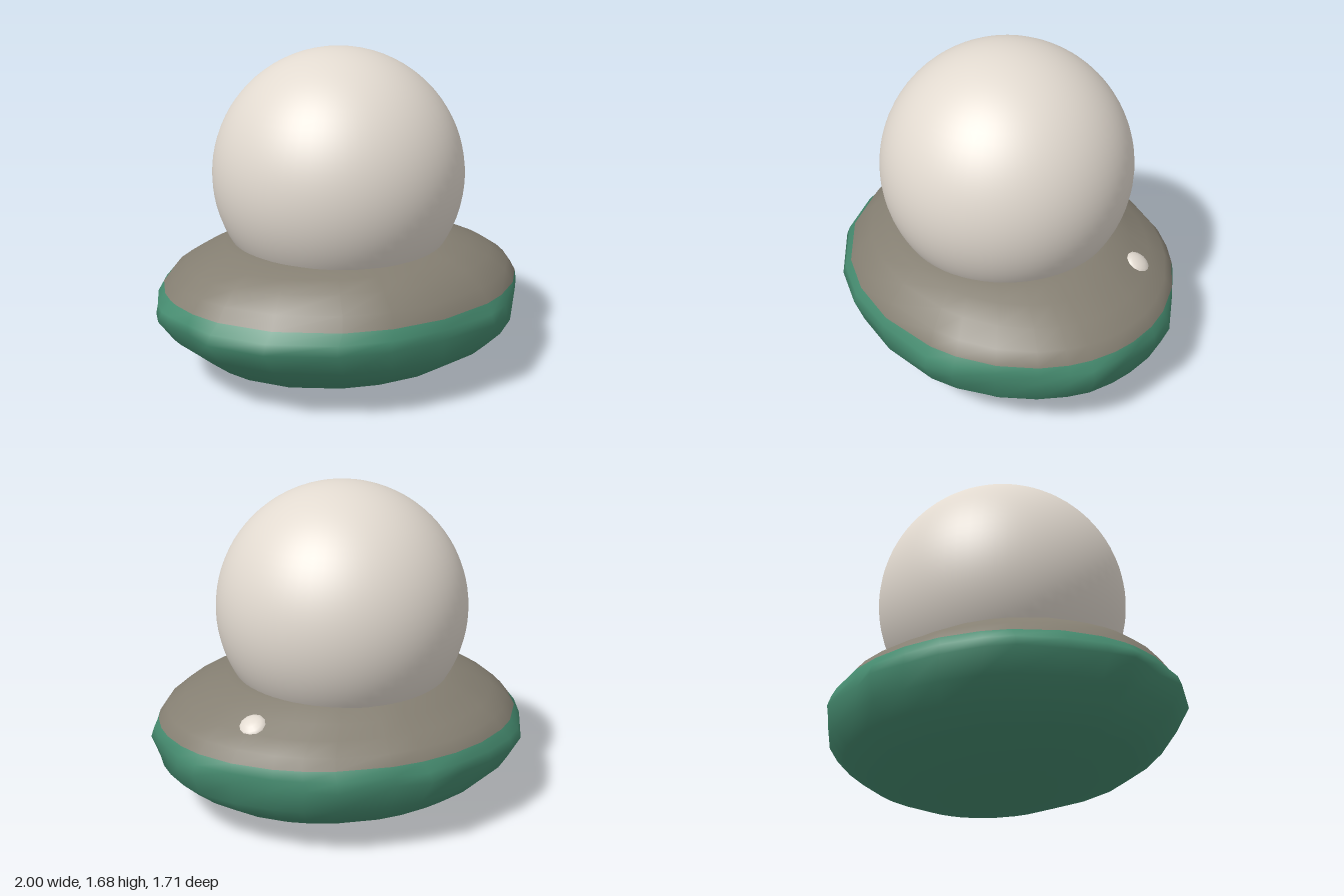
import * as THREE from 'three';

const mat = (name, color) => new THREE.MeshStandardMaterial({ name, color });

// uneven rim of the base, as x, z pairs going round from the back
const RIM = [
  [-0.15, -0.86], [0.02, -0.83], [0.31, -0.83], [0.45, -0.75], [0.58, -0.68], [0.74, -0.54],
  [0.9, -0.4], [0.95, -0.27], [0.97, -0.12], [0.99, 0], [1, 0.14], [0.95, 0.25], [0.87, 0.38],
  [0.74, 0.54], [0.6, 0.7], [0.47, 0.78], [0.14, 0.835], [-0.15, 0.85], [-0.4, 0.79],
  [-0.7, 0.62], [-0.89, 0.39], [-0.92, 0.22], [-0.98, 0.07], [-1, 0], [-0.97, -0.12],
  [-0.9, -0.3], [-0.8, -0.51], [-0.7, -0.61], [-0.52, -0.72], [-0.34, -0.79],
];

// rings from bottom to top: y, x radius, z radius, share of the rim shape, x centre, rise to the front
const RINGS = [
  [0.01, 0, 0, 0, 0.03, 0],
  [0.012, 0.2, 0.22, 0, 0.03, 0],
  [0.045, 0.5, 0.42, 0, 0.06, 0],
  [0.12, 0.74, 0.63, 0, 0.02, 0],
  [0.2, 0.85, 0.75, 0, 0.03, 0],
  [0.28, 0.93, 0.815, 0.2, 0.03, 0],
  [0.39, 0.98, 0.84, 1, 0, 0],
  [0.44, 0.97, 0.835, 0.5, 0.01, 0],
  [0.49, 0.95, 0.825, 0, 0.02, 0],
  [0.55, 0.905, 0.785, 0, 0.02, 0.01],
  [0.61, 0.82, 0.705, 0, 0.01, 0.025],
  [0.66, 0.715, 0.62, 0, 0, 0.02],
  [0.7, 0.61, 0.53, 0, 0, 0.005],
  [0.72, 0.52, 0.45, 0, 0, 0],
  [0.73, 0, 0, 0, 0, 0],
];
const SEAM = 8; // ring where the two colours meet

function baseGeometry() {
  const n = RIM.length, pos = [], index = [];
  for (const [y, rx, rz, share, cx, rise] of RINGS) {
    for (const [px, pz] of RIM) {
      const t = Math.atan2(pz / 0.84, px / 0.98);
      const x = cx + rx * Math.cos(t), z = rz * Math.sin(t);
      pos.push(x + (px - x) * share, y + rise * Math.sin(t), z + (pz - z) * share);
    }
  }
  for (let r = 0; r < RINGS.length - 1; r++) {
    for (let j = 0; j < n; j++) {
      const a = r * n + j, b = r * n + (j + 1) % n;
      index.push(a, a + n, b, b, a + n, b + n);
    }
  }
  const g = new THREE.BufferGeometry();
  g.setAttribute('position', new THREE.Float32BufferAttribute(pos, 3));
  g.setIndex(index);
  g.computeVertexNormals();
  // the collapsed end rings point straight down and up
  for (let j = 0; j < n; j++) {
    g.attributes.normal.setXYZ(j, 0, -1, 0);
    g.attributes.normal.setXYZ((RINGS.length - 1) * n + j, 0, 1, 0);
  }
  g.addGroup(0, SEAM * n * 6, 0);
  g.addGroup(SEAM * n * 6, index.length - SEAM * n * 6, 1);
  return g;
}

export function createModel() {
  const green = mat('green', 0x468c70);
  const taupe = mat('taupe', 0x857f72);
  const ivory = mat('ivory', 0xe2dad0);
  const model = new THREE.Group();
  model.name = 'domedSaucer';

  const add = (name, geometry, material, x, y, z) => {
    const m = new THREE.Mesh(geometry, material);
    m.name = name;
    m.position.set(x, y, z);
    model.add(m);
    return m;
  };

  // cushion-shaped base: green below, taupe above
  add('base', baseGeometry(), [green, taupe], 0, 0, 0);

  // large ball resting in the base
  add('ball', new THREE.SphereGeometry(0.65, 64, 40), ivory, 0, 1.04, 0);

  // small stud lying on the slope at the back left
  const stud = add('stud', new THREE.SphereGeometry(0.072, 12, 8), ivory, 0.6, 0.606, -0.41);
  stud.scale.y = 0.5;
  stud.quaternion.setFromUnitVectors(
    new THREE.Vector3(0, 1, 0), new THREE.Vector3(0.4, 0.85, -0.35).normalize());

  return model;
}
